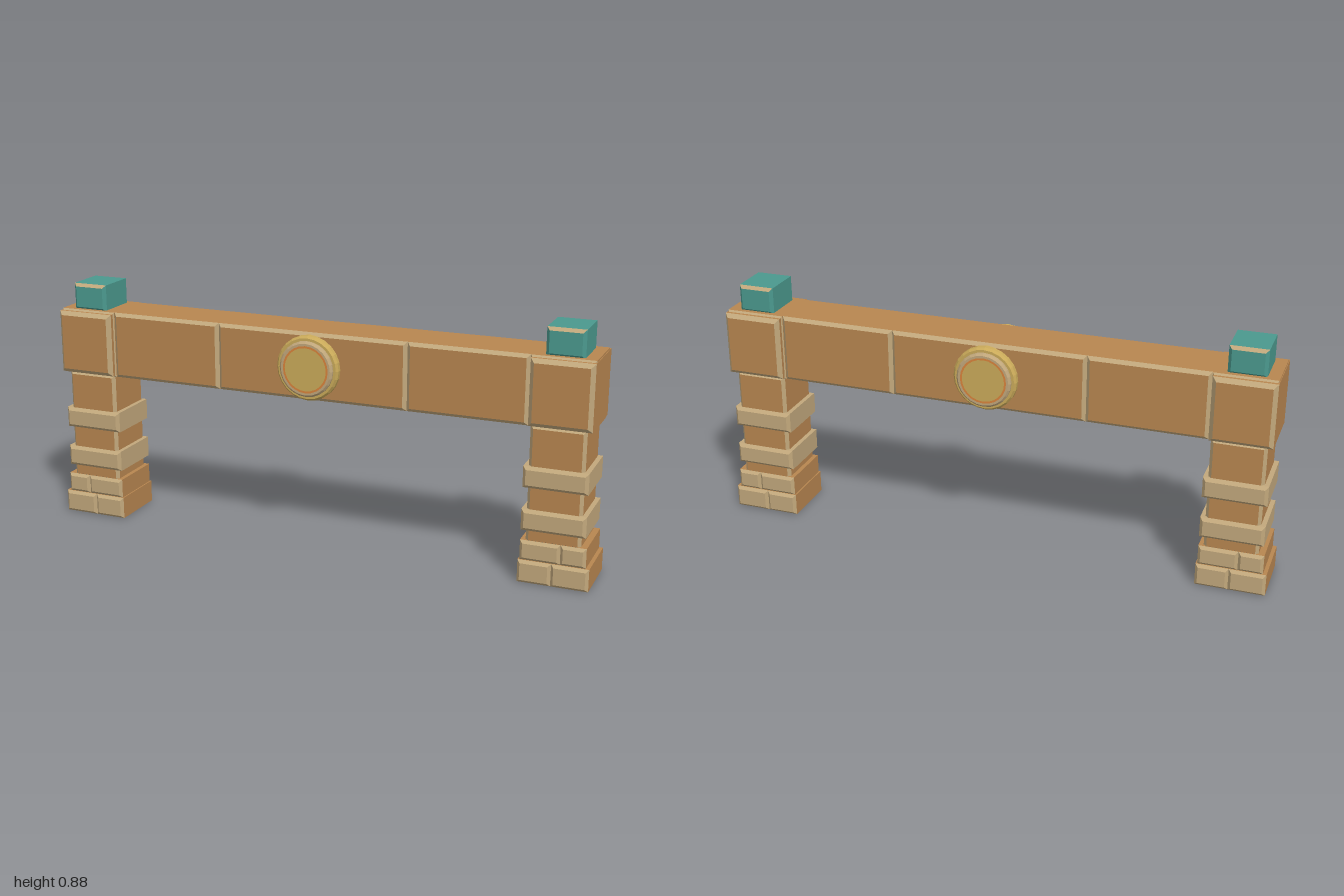
import * as THREE from 'three';

const mat = (name, color) => Object.assign(new THREE.MeshStandardMaterial({ color }), { name });

export function createModel() {
  const model = new THREE.Group();
  model.name = 'gateway';
  const clay = mat('clay', 0xb88650);
  const stone = mat('sandstone', 0xc2a87c);
  const teal = mat('teal', 0x4b998e);
  const gold = mat('gold', 0xcbab5a);
  const orange = mat('orange', 0xd9843c);

  // Block whose front and back faces are bevelled.
  // Materials: front and back, bevels, sides, upper bevels.
  function block(name, x, w, y0, y1, depth, bevel, mats, parent = model) {
    const ring = (inset, z) => {
      const a = w / 2 - inset;
      return [[-a, y0 + inset, z], [a, y0 + inset, z], [a, y1 - inset, z], [-a, y1 - inset, z]];
    };
    const rings = [ring(bevel, -depth), ring(0, bevel - depth), ring(0, depth - bevel), ring(bevel, depth)];
    const pos = [];
    const geo = new THREE.BufferGeometry();
    const quad = (a, b, c, d, m) => {
      geo.addGroup(pos.length / 3, 6, m);
      pos.push(...a, ...b, ...c, ...a, ...c, ...d);
    };
    for (let k = 0; k < 3; k++) {
      for (let i = 0; i < 4; i++) {
        const j = (i + 1) % 4;
        const m = k === 1 ? 2 : i === 2 ? 3 : 1;
        quad(rings[k][i], rings[k][j], rings[k + 1][j], rings[k + 1][i], m);
      }
    }
    quad(...rings[3], 0);
    quad(...[...rings[0]].reverse(), 0);
    geo.setAttribute('position', new THREE.Float32BufferAttribute(pos, 3));
    geo.computeVertexNormals();
    const mesh = new THREE.Mesh(geo, mats);
    mesh.name = name;
    mesh.position.x = x;
    parent.add(mesh);
  }

  const trimmed = [clay, stone, clay, stone];
  const plain = [stone, stone, stone, stone];
  const brick = [stone, stone, clay, stone];

  // Crossbeam in three panels
  for (const [x, w] of [[-0.56, 0.42], [0, 0.7], [0.56, 0.42]]) {
    block('beamPanel', x, w, 0.545, 0.785, 0.102, 0.012, trimmed);
  }

  for (const s of [-1, 1]) {
    const leg = new THREE.Group();
    leg.name = s < 0 ? 'rightPillar' : 'leftPillar';
    model.add(leg);

    // Beam end with a raised panel and a cap
    block('beamEnd', s * 0.877, 0.214, 0.545, 0.785, 0.102, 0.008, trimmed, leg);
    block('endPanel', s * 0.88, 0.212, 0.551, 0.779, 0.125, 0.014, trimmed, leg);
    block('cap', s * 0.878, 0.13, 0.78, 0.877, 0.082, 0.011, [teal, teal, teal, stone], leg);

    // Shaft and its bands
    block('shaft', s * 0.872, 0.188, 0.14, 0.55, 0.1, 0.011, trimmed, leg);
    for (const y of [0.185, 0.335]) {
      block('band', s * 0.872, 0.22, y, y + 0.075, 0.112, 0.011, plain, leg);
    }

    // Two courses of bricks at the foot
    for (const [outer, split, inner, y0, y1, d] of [
      [1, 0.872, 0.757, 0, 0.08, 0.115],
      [0.987, 0.9, 0.762, 0.08, 0.15, 0.111],
    ]) {
      block('brick', s * (outer + split) / 2, outer - split, y0, y1, d, 0.01, brick, leg);
      block('brick', s * (split + inner) / 2, split - inner, y0, y1, d, 0.01, brick, leg);
    }
  }

  // Round stepped medallion on both faces of the beam
  const turned = (name, points, material, parent) => {
    const geo = new THREE.LatheGeometry(points.map(([r, h]) => new THREE.Vector2(r, h)), 24).toNonIndexed();
    geo.computeVertexNormals();
    const mesh = new THREE.Mesh(geo, material);
    mesh.name = name;
    parent.add(mesh);
  };
  for (const s of [1, -1]) {
    const medallion = new THREE.Group();
    medallion.name = s > 0 ? 'frontMedallion' : 'backMedallion';
    medallion.position.set(0, 0.664, 0);
    medallion.rotation.x = s * Math.PI / 2;
    turned('outerRim', [[0.114, 0.09], [0.114, 0.118], [0.107, 0.126], [0.095, 0.126]], gold, medallion);
    turned('innerRim', [[0.098, 0.12], [0.098, 0.133], [0.091, 0.14], [0.083, 0.14]], stone, medallion);
    turned('ring', [[0.083, 0.14], [0.076, 0.14]], orange, medallion);
    turned('disc', [[0.076, 0.14], [0, 0.14]], gold, medallion);
    model.add(medallion);
  }
  return model;
}
